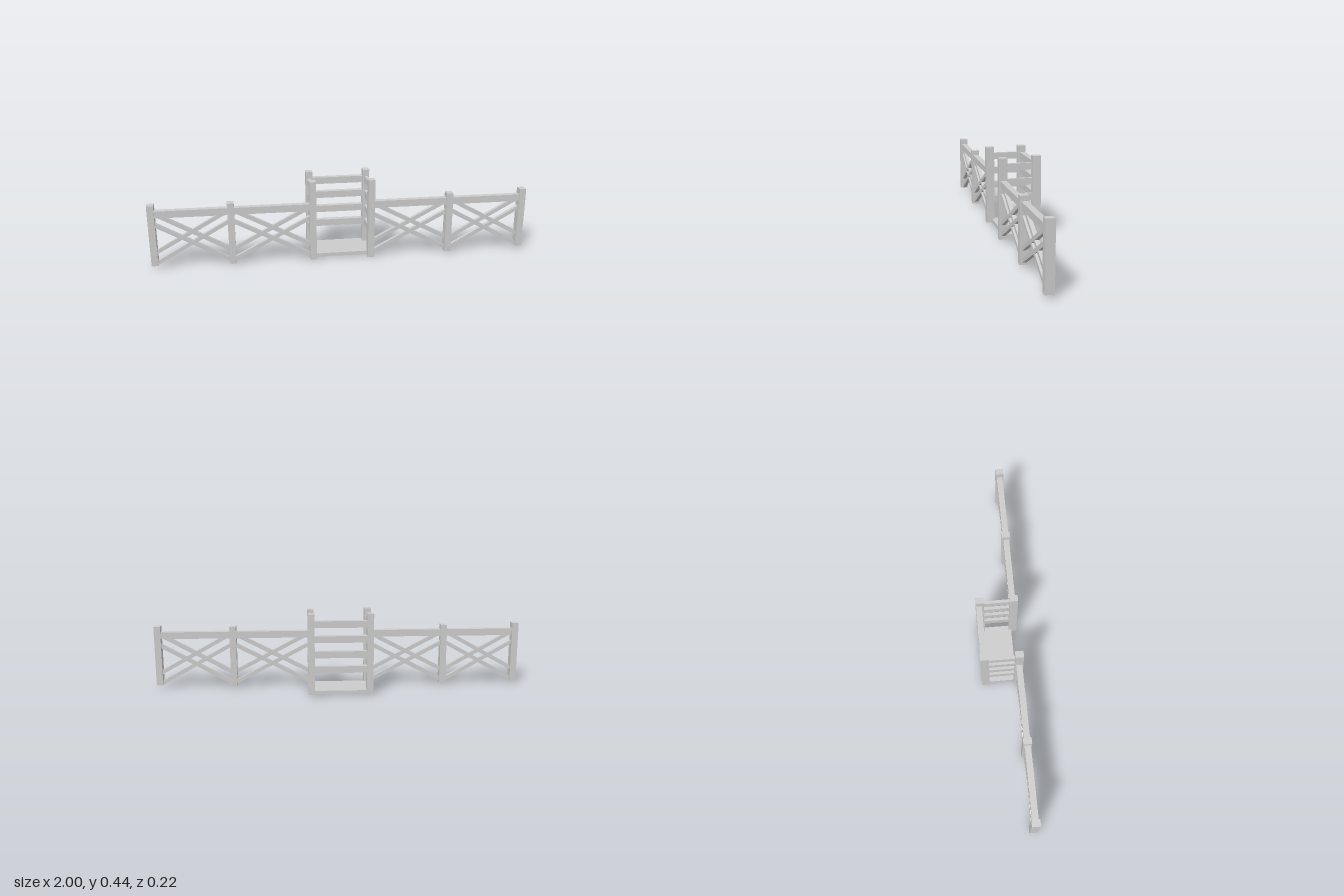
import * as THREE from 'three';

const material = new THREE.MeshStandardMaterial({ color: 0xcccccc, flatShading: true });

export function createModel() {
  const model = new THREE.Group();

  // Box given by its extents on each axis
  function beam(name, [x0, x1], [y0, y1], [z0, z1]) {
    const mesh = new THREE.Mesh(new THREE.BoxGeometry(x1 - x0, y1 - y0, z1 - z0), material);
    mesh.name = name;
    mesh.position.set((x0 + x1) / 2, (y0 + y1) / 2, (z0 + z1) / 2);
    model.add(mesh);
  }

  const frontZ = [0.068, 0.112];
  const backZ = [-0.111, -0.067];
  const post = (name, x, y, z) => beam(name, [x - 0.0175, x + 0.0175], y, z);

  // Fence posts and the four corner posts of the bay
  post('endPost', -0.9825, [0.018, 0.345], frontZ);
  post('endPost', 0.9825, [0.018, 0.345], frontZ);
  post('middlePost', -0.582, [0.008, 0.34], frontZ);
  post('middlePost', 0.577, [0.008, 0.34], frontZ);
  post('frontCornerPost', -0.158, [0.005, 0.435], frontZ);
  post('frontCornerPost', 0.153, [0, 0.432], frontZ);
  post('backCornerPost', -0.158, [0.005, 0.437], backZ);
  post('backCornerPost', 0.153, [0.005, 0.437], backZ);

  // Fence panels: top rail with a doubled cross brace
  const panels = [[-0.965, -0.6], [-0.565, -0.175], [0.17, 0.56], [0.595, 0.965]];
  for (const [x0, x1] of panels) {
    beam('topRail', [x0, x1], [0.277, 0.314], [0.074, 0.106]);
    const slope = 0.205 / (x1 - x0);
    const half = 0.0115; // half the vertical thickness of a brace
    for (const direction of [-1, 1]) {
      for (const offset of [-0.03, 0.03]) {
        const rise = direction * 0.1025;
        const y = 0.163 + offset;
        // Parallelogram with ends cut flush to the posts
        const shape = new THREE.Shape([
          new THREE.Vector2(x0, y - rise - half),
          new THREE.Vector2(x1, y + rise - half),
          new THREE.Vector2(x1, y + rise + half),
          new THREE.Vector2(x0, y - rise + half),
        ]);
        const brace = new THREE.Mesh(
          new THREE.ExtrudeGeometry(shape, { depth: 0.02, bevelEnabled: false }), material);
        brace.name = slope * direction > 0 ? 'risingBrace' : 'fallingBrace';
        brace.position.z = 0.08;
        model.add(brace);
      }
    }
  }

  // Slats around the back and sides of the bay
  for (const y of [0.122, 0.203, 0.285, 0.365]) {
    const height = [y, y + 0.036];
    beam('backSlat', [-0.142, 0.137], height, [-0.108, -0.078]);
    beam('leftSlat', [0.146, 0.163], height, [-0.068, 0.069]);
    beam('rightSlat', [-0.168, -0.151], height, [-0.068, 0.069]);
  }

  // Floor of the bay
  beam('floor', [-0.165, 0.16], [0.006, 0.025], [-0.108, 0.082]);

  return model;
}
